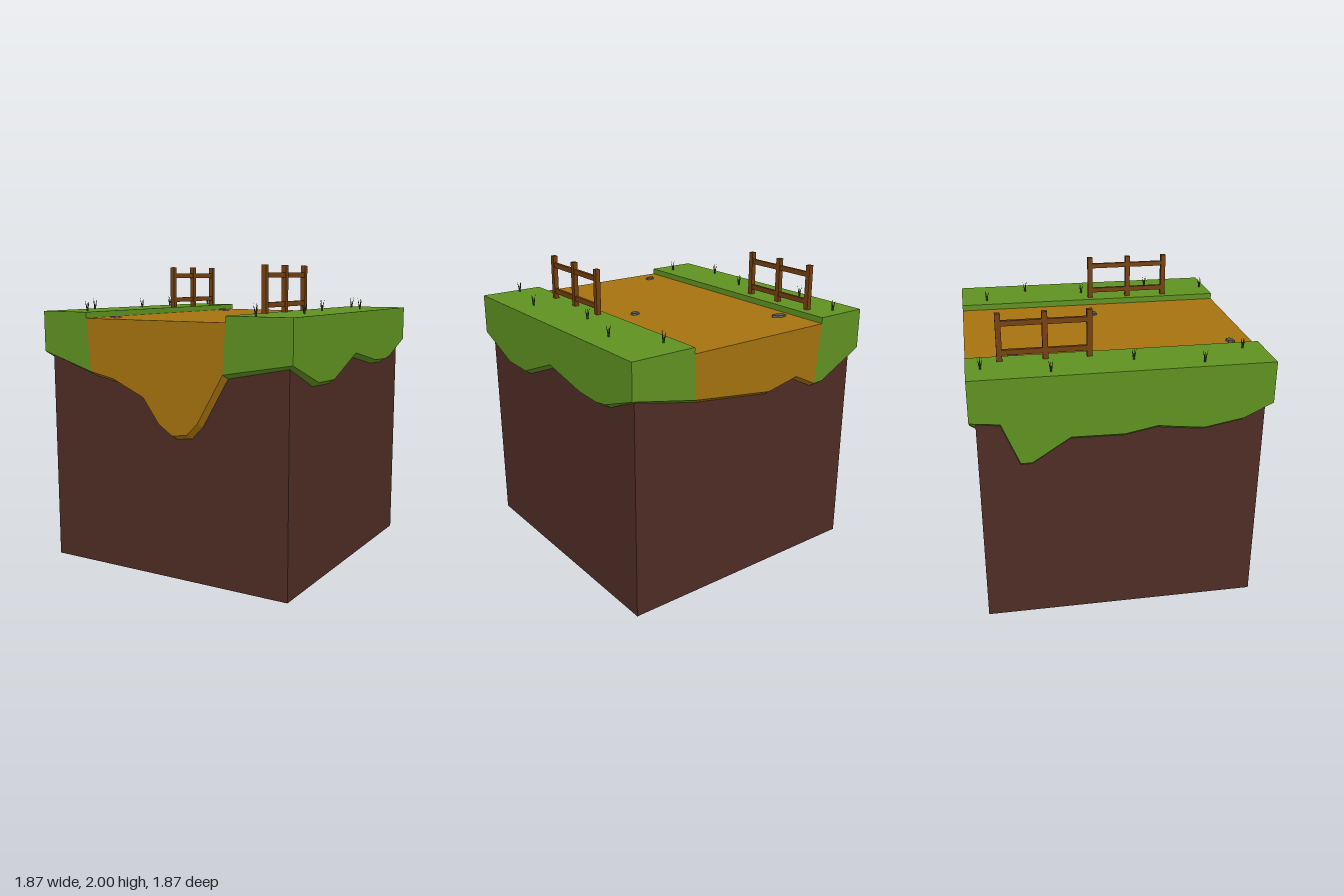
import * as THREE from 'three';

const mat = (name, color) => {
  const m = new THREE.MeshStandardMaterial({ color });
  m.name = name;
  return m;
};

const OUT = 0.935, IN = 0.895;         // half widths of the turf layer and the soil block
const PATH_Y = 1.66, GRASS_Y = 1.7;    // heights of the path and the grass
const PATH_L = -0.568, PATH_R = 0.49;  // path edges in x

export function createModel() {
  const grass = mat('grass green', 0x5f9120);
  const path = mat('path ochre', 0xa5720f);
  const soil = mat('soil brown', 0x4e2c24);
  const wood = mat('fence wood', 0x74400f);
  const stone = mat('stone grey', 0x555555);
  const blade = mat('dark blade green', 0x37491a);

  const model = new THREE.Group();
  model.name = 'pathBlock';
  const add = (parent, name, geo, material, x = 0, y = 0, z = 0) => {
    const m = new THREE.Mesh(geo, material);
    m.name = name;
    m.position.set(x, y, z);
    parent.add(m);
    return m;
  };

  // Soil block
  add(model, 'soil', new THREE.BoxGeometry(IN * 2, 1.6, IN * 2), soil, 0, 0.8, 0);

  // Grass verges and the sunken path between them
  for (const [name, a, b] of [['rightVerge', -OUT, PATH_L], ['leftVerge', PATH_R, OUT]]) {
    const h = GRASS_Y - PATH_Y;
    add(model, name, new THREE.BoxGeometry(b - a, h, OUT * 2), grass, (a + b) / 2, PATH_Y + h / 2, 0);
  }
  add(model, 'pathTop', new THREE.PlaneGeometry(PATH_R - PATH_L, OUT * 2).rotateX(-Math.PI / 2),
    path, (PATH_L + PATH_R) / 2, PATH_Y, 0);

  // Ragged skirt: a wall down to the profile, then a lip sloping in to the soil.
  // Profile points are [u, y, u at the top edge if different].
  const skirt = (pts, shift) => {
    const pos = [];
    const quad = (a, b, c, d) => pos.push(...a, ...b, ...c, ...a, ...c, ...d);
    const top = p => [p[2] ?? p[0], PATH_Y, OUT];
    const edge = p => [p[0], p[1], OUT];
    const inner = p => [THREE.MathUtils.clamp(p[0] + shift, -IN, IN), p[1] - 0.027, IN];
    for (let i = 0; i + 1 < pts.length; i++) {
      const p = pts[i], q = pts[i + 1];
      quad(edge(p), edge(q), top(q), top(p));
      quad(inner(p), inner(q), edge(q), edge(p));
    }
    const g = new THREE.BufferGeometry();
    g.setAttribute('position', new THREE.Float32BufferAttribute(pos, 3));
    g.computeVertexNormals();
    return g;
  };

  const sides = [
    { name: 'front', turn: 0, shift: 0.015, parts: [
      [grass, [[-OUT, 1.43], [-0.54, 1.312, PATH_L]]],
      [path, [[-0.54, 1.312, PATH_L], [-0.36, 1.277], [-0.12, 1.172], [0.0, 1.01], [0.1, 0.945],
        [0.21, 0.96], [0.29, 1.04], [0.47, 1.35, PATH_R]]],
      [grass, [[0.47, 1.35, PATH_R], [OUT, 1.43]]]] },
    { name: 'left', turn: Math.PI / 2, shift: 0, parts: [
      [grass, [[-OUT, 1.43], [-0.58, 1.295], [-0.35, 1.29], [0, 1.43], [0.36, 1.355],
        [0.55, 1.345], [0.65, 1.36], [OUT, 1.465]]]] },
    { name: 'back', turn: Math.PI, shift: 0, parts: [
      [grass, [[-OUT, 1.465], [-0.48, 1.37, -PATH_R]]],
      [path, [[-0.48, 1.37, -PATH_R], [0.12, 1.29], [0.36, 1.34], [0.53, 1.255, -PATH_L]]],
      [grass, [[0.53, 1.255, -PATH_L], [0.6, 1.258], [OUT, 1.43]]]] },
    { name: 'right', turn: -Math.PI / 2, shift: 0, parts: [
      [grass, [[-OUT, 1.43], [-0.75, 1.41], [-0.64, 1.14], [-0.57, 1.14], [-0.33, 1.295], [0, 1.29],
        [0.21, 1.33], [0.32, 1.315], [0.5, 1.295], [0.75, 1.34], [OUT, 1.43]]]] },
  ];
  for (const s of sides) {
    const g = new THREE.Group();
    g.name = s.name + 'Skirt';
    g.rotation.y = s.turn;
    for (const [m, pts] of s.parts)
      add(g, m === path ? 'pathEdge' : 'grassEdge', skirt(pts, s.shift), m);
    model.add(g);
  }

  // Fences: three posts and two rails
  const fence = (name, x, zs) => {
    const g = new THREE.Group();
    g.name = name;
    for (const z of zs) add(g, 'post', new THREE.BoxGeometry(0.032, 0.3, 0.034), wood, x, 1.85, z);
    const len = zs[2] - zs[0];
    for (const y of [1.753, 1.937])
      add(g, 'rail', new THREE.BoxGeometry(0.022, 0.033, len), wood, x, y, (zs[0] + zs[2]) / 2);
    model.add(g);
  };
  fence('leftFence', 0.553, [0.013, 0.295, 0.565]);
  fence('rightFence', -0.642, [-0.725, -0.445, -0.172]);

  // Grass tufts: three blades leaning outwards
  const tufts = [[-0.76, -0.845], [-0.865, -0.435], [-0.75, 0.085], [-0.86, 0.5], [-0.67, 0.8],
    [0.585, -0.755], [0.772, -0.457], [0.665, -0.04], [0.78, 0.475], [0.67, 0.89]];
  const bladeGeo = new THREE.ConeGeometry(0.006, 0.08, 4).translate(0, 0.04, 0).rotateZ(-0.22);
  tufts.forEach(([x, z], i) => {
    const g = new THREE.Group();
    g.name = 'grassTuft';
    g.position.set(x, GRASS_Y - 0.002, z);
    for (let k = 0; k < 3; k++)
      add(g, 'blade', bladeGeo, blade).rotation.y = i * 0.9 + k * Math.PI * 2 / 3;
    model.add(g);
  });

  // Flat stones on the path
  const stoneGeo = new THREE.CylinderGeometry(0.85, 1, 1, 7).toNonIndexed();
  stoneGeo.computeVertexNormals();
  for (const [x, z, rx, rz, turn] of [[-0.47, -0.635, 0.056, 0.035, -0.3],
    [0.27, -0.01, 0.039, 0.029, 0.35], [-0.433, 0.795, 0.039, 0.029, 0.35]]) {
    const s = add(model, 'stone', stoneGeo, stone, x, PATH_Y + 0.004, z);
    s.scale.set(rx, 0.016, rz);
    s.rotation.y = turn;
  }

  return model;
}
